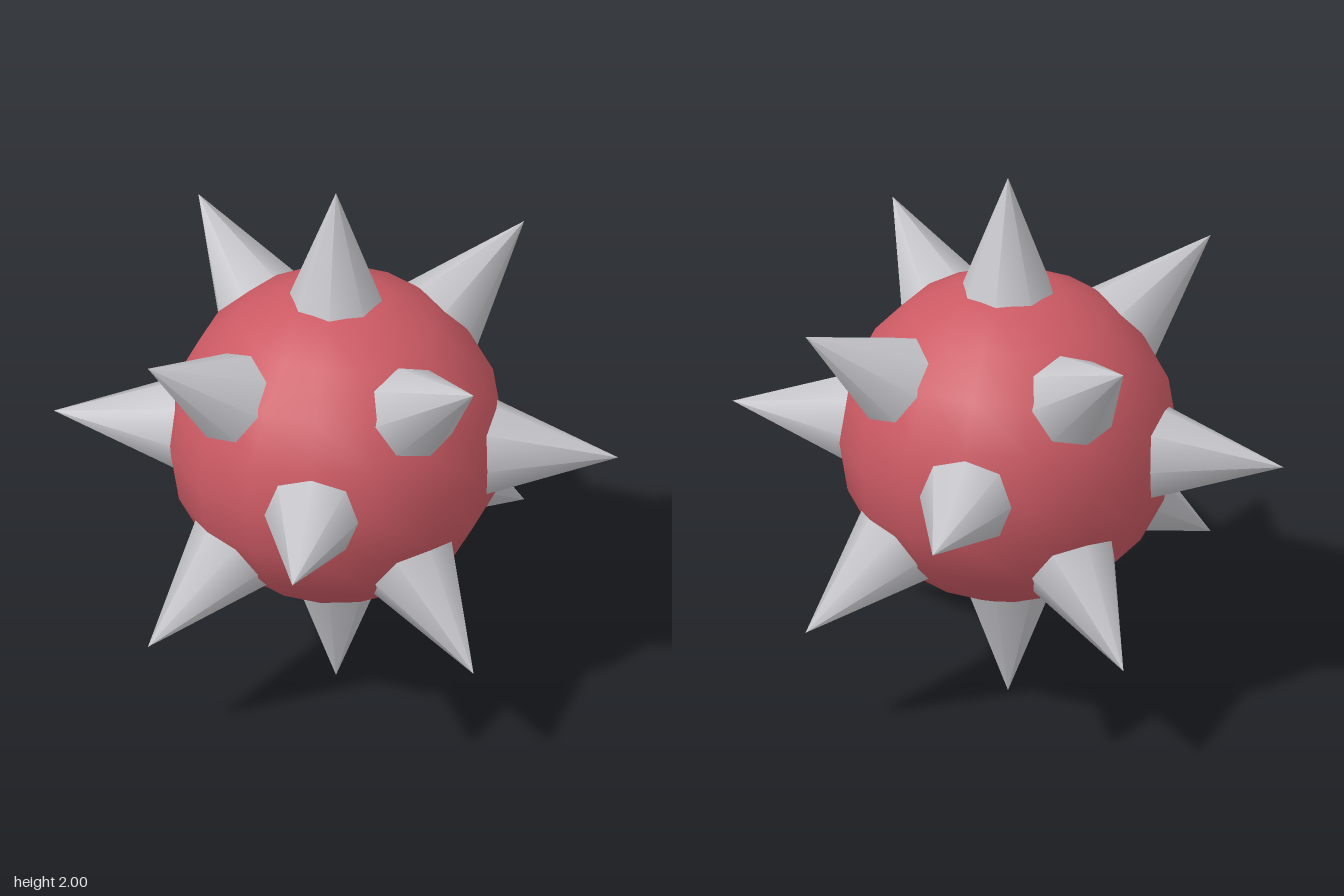
import * as THREE from 'three';

export function createModel() {
  const model = new THREE.Group();
  model.name = 'spikedBall';

  const red = new THREE.MeshStandardMaterial({ color: 0xcc5a64 });
  red.name = 'red';
  const grey = new THREE.MeshStandardMaterial({ color: 0xc6c5ca });
  grey.name = 'light grey';

  // Round body
  const body = new THREE.Mesh(new THREE.SphereGeometry(0.595, 16, 10), red);
  body.name = 'body';
  body.position.y = 1;
  model.add(body);

  // One eight-sided spike, its base sunk in the body and its tip 1 unit from the centre
  const spikeGeometry = new THREE.ConeGeometry(0.19, 0.5, 8);
  spikeGeometry.translate(0, 0.75, 0);
  const up = new THREE.Vector3(0, 1, 0);

  const addSpike = (x, y, z, name) => {
    const spike = new THREE.Mesh(spikeGeometry, grey);
    spike.name = name;
    spike.quaternion.setFromUnitVectors(up, new THREE.Vector3(x, y, z).normalize());
    spike.position.y = 1;
    model.add(spike);
  };

  // Six spikes along the axes
  for (const s of [1, -1]) {
    addSpike(s, 0, 0, s > 0 ? 'leftSpike' : 'rightSpike');
    addSpike(0, s, 0, s > 0 ? 'topSpike' : 'bottomSpike');
    addSpike(0, 0, s, s > 0 ? 'frontSpike' : 'backSpike');
  }

  // Eight spikes towards the corners of a cube
  for (const x of [1, -1])
    for (const y of [1, -1])
      for (const z of [1, -1]) addSpike(x, y, z, 'cornerSpike');

  return model;
}
